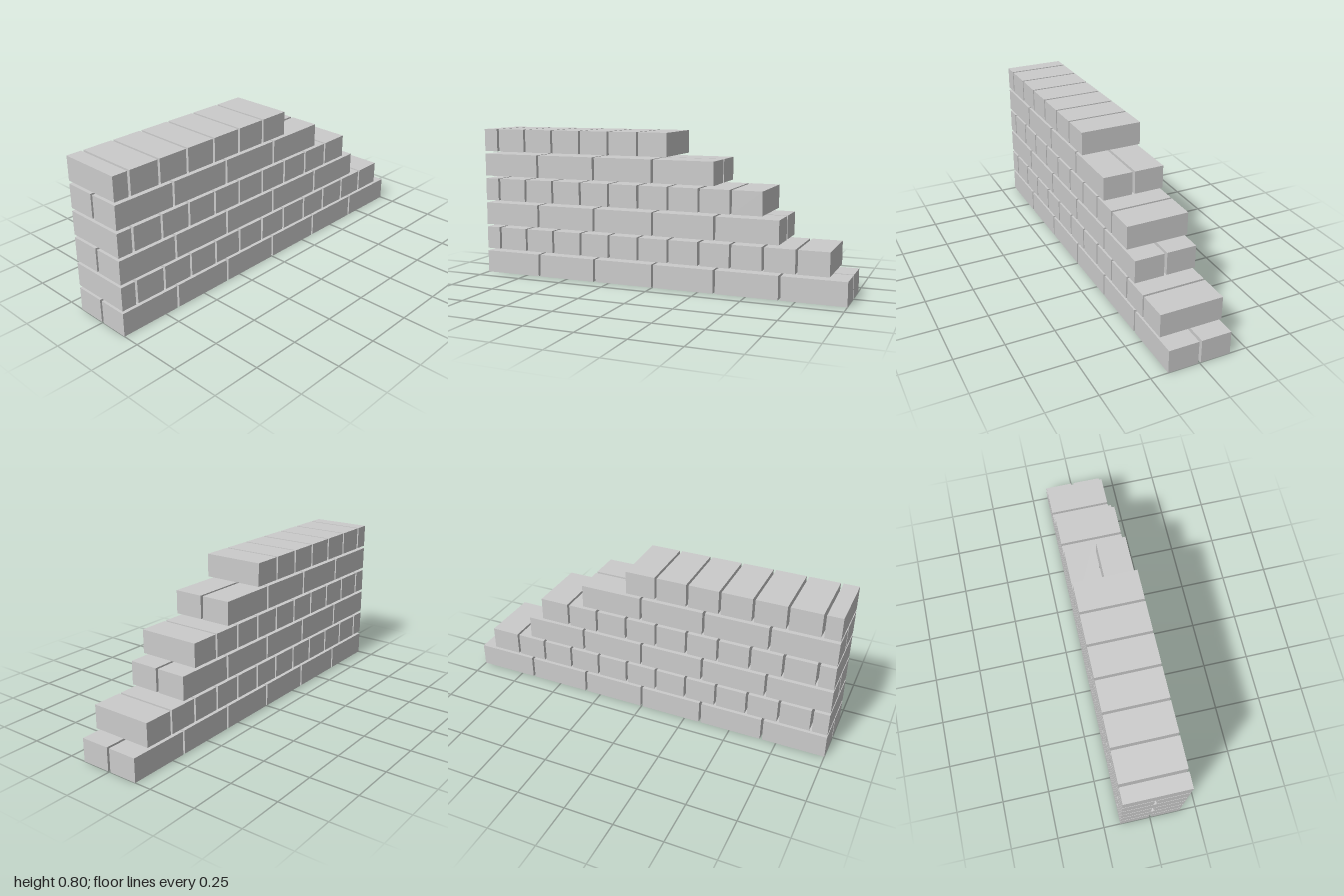
import * as THREE from 'three';

const LENGTH = 0.323, WIDTH = 0.1545, HEIGHT = 0.121; // brick size
const RISE = 0.1358;           // course height including bed joint
const STRETCHER_STEP = 0.3354; // brick spacing along the wall
const HEADER_STEP = 0.1668;

export function createModel() {
  const wall = new THREE.Group();
  wall.name = 'steppedBrickWall';
  const material = new THREE.MeshStandardMaterial({ color: 0xcccccc, flatShading: true });
  const stretcher = new THREE.BoxGeometry(WIDTH, HEIGHT, LENGTH);
  const header = new THREE.BoxGeometry(LENGTH, HEIGHT, WIDTH);
  const closer = new THREE.BoxGeometry(LENGTH, HEIGHT, 0.078);

  const addBrick = (course, geometry, name, x, frontZ) => {
    const brick = new THREE.Mesh(geometry, material);
    brick.name = name;
    brick.position.set(x, HEIGHT / 2, frontZ - geometry.parameters.depth / 2);
    course.add(brick);
  };

  // Bricks along each course, from the bottom up; odd courses are headers
  [6, 11, 5, 9, 4, 6].forEach((count, level) => {
    const course = new THREE.Group();
    const isHeader = level % 2 === 1;
    course.name = isHeader ? 'headerCourse' : 'stretcherCourse';
    course.position.y = level * RISE;
    // Thin closer at the front end offsets the joints
    if (isHeader) addBrick(course, closer, 'closerBrick', 0, 1);
    for (let i = 0; i < count; i++) {
      if (isHeader) {
        addBrick(course, header, 'headerBrick', 0, 0.909 - i * HEADER_STEP);
      } else {
        for (const side of [-1, 1]) {
          const x = side * (LENGTH - WIDTH) / 2;
          addBrick(course, stretcher, 'stretcherBrick', x, 1 - i * STRETCHER_STEP);
        }
      }
    }
    wall.add(course);
  });
  return wall;
}
